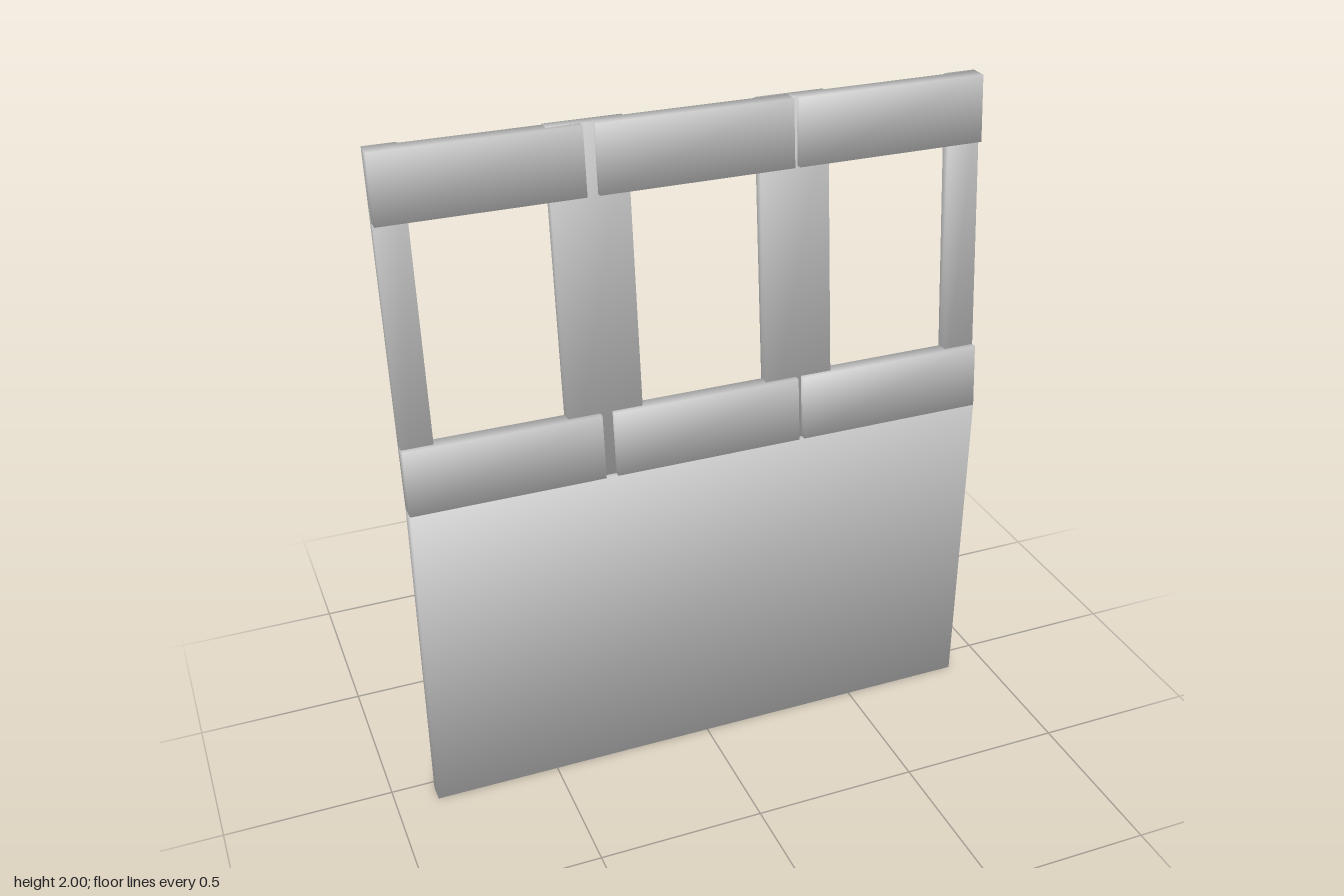
import * as THREE from 'three';

const grey = new THREE.MeshStandardMaterial({ color: 0xcccccc });
grey.name = 'plain grey';

const FRONT = 0.08;   // z of the front face at the hinge line
const THICK = 0.054;  // full depth of the panel
const LEAN = 0.106;   // backward slope of the upper frame

// Box with softened corner normals, given by its bounds; depths run back from the front plane.
function slab(name, x0, x1, y0, y1, d0, d1, lean = 0) {
  const geometry = new THREE.BoxGeometry(x1 - x0, y1 - y0, d1 - d0);
  const p = geometry.attributes.position;
  const n = geometry.attributes.normal;
  const v = new THREE.Vector3();
  for (let i = 0; i < p.count; i++) {
    v.fromBufferAttribute(p, i);
    const y = v.y + (y0 + y1) / 2;
    p.setXYZ(i, v.x + (x0 + x1) / 2, y, v.z + FRONT - (d0 + d1) / 2 - lean * (y - 1));
    v.set(Math.sign(v.x), Math.sign(v.y), Math.sign(v.z)).normalize();
    n.setXYZ(i, v.x, v.y, v.z);
  }
  const mesh = new THREE.Mesh(geometry, grey);
  mesh.name = name;
  return mesh;
}

export function createModel() {
  const model = new THREE.Group();
  model.name = 'windowedPanel';

  // Solid lower panel
  model.add(slab('lowerPanel', -0.875, 0.875, 0, 1, 0, THICK));

  const frame = new THREE.Group();
  frame.name = 'leaningWindowFrame';
  model.add(frame);

  // Upper and lower rails, each in three pieces with narrow gaps
  const rails = [[-0.875, -0.31], [-0.275, 0.29], [0.305, 0.875]];
  for (const [x0, x1] of rails) {
    frame.add(slab('bottomRail', x0, x1, 1, 1.19, 0, 0.046, LEAN));
    frame.add(slab('topRail', x0, x1, 1.81, 2, 0, 0.046, LEAN));
  }

  // Posts between the windows, set back from the rail fronts
  const posts = [[-0.875, -0.785], [-0.405, -0.185], [0.195, 0.4], [0.78, 0.875]];
  for (const [x0, x1] of posts) {
    frame.add(slab('windowPost', x0, x1, 1, 2, 0.017, THICK, LEAN));
  }
  return model;
}
